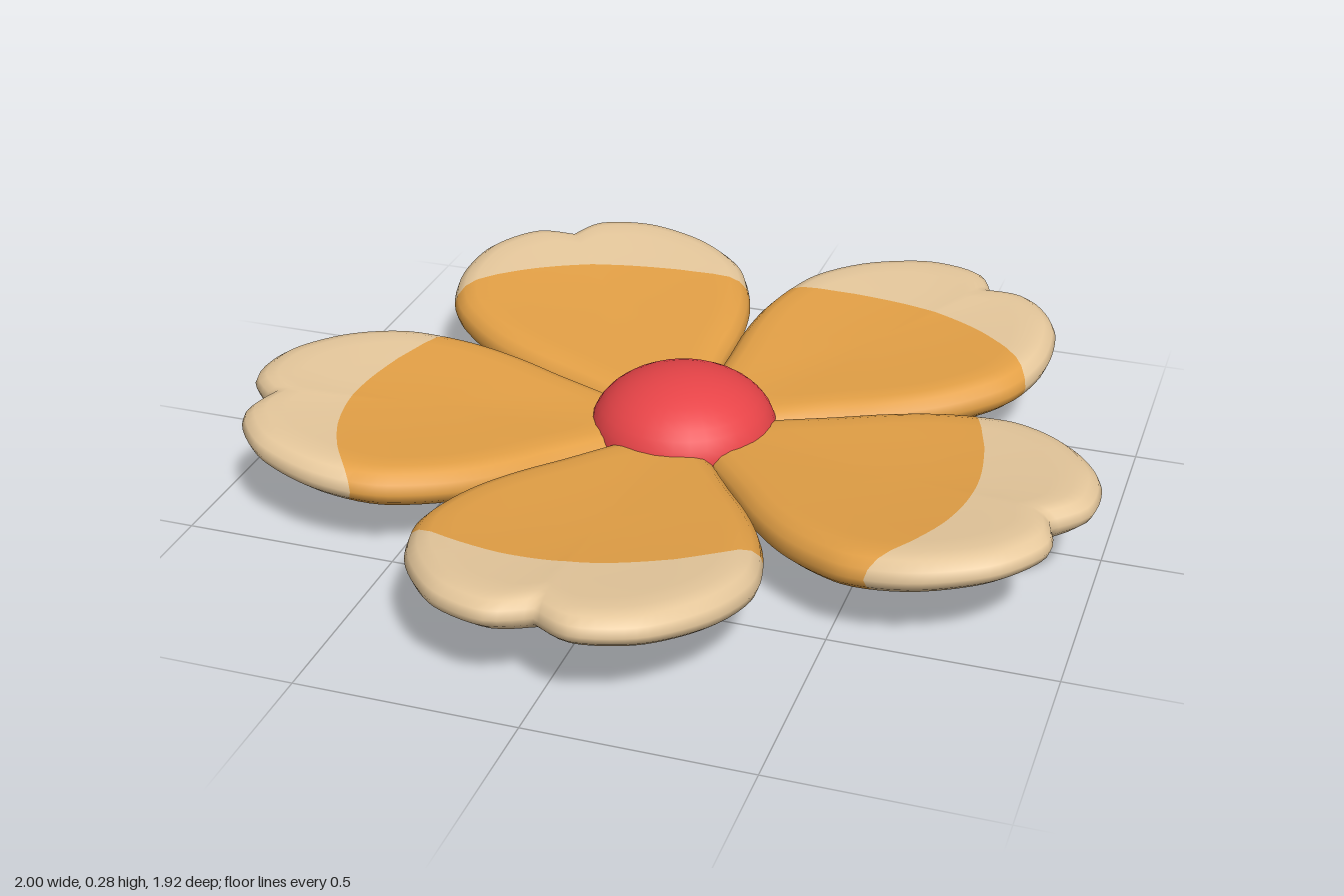
import * as THREE from 'three';

const material = (name, color) => {
  const m = new THREE.MeshStandardMaterial({ color });
  m.name = name;
  return m;
};

// Half outline of a petal from root to tip notch: x across, y outward
const HALF = [[0, 0.06], [0.09, 0.12], [0.2, 0.275], [0.275, 0.38], [0.335, 0.49], [0.37, 0.6], [0.38, 0.7],
  [0.345, 0.82], [0.275, 0.92], [0.2, 0.98], [0.09, 1.01], [0, 0.965]];
// Cross-section from top middle, round the rim, to bottom middle: [scale, height]
const SECTION = [[0, 1], [0.3, 1], [0.55, 1], [0.75, 1], [0.86, 0.96], [0.93, 0.78], [0.98, 0.42], [1, 0],
  [0.98, -0.38], [0.93, -0.68], [0.85, -0.87], [0.72, -0.97], [0.5, -1.03], [0.25, -1.06], [0, -1.07]];
const MIDDLE = 0.6;

// Closed smooth petal, thin at the root and curving up to the tip
function petalSurface() {
  const half = new THREE.SplineCurve(HALF.map(([x, y]) => new THREE.Vector2(x, y))).getPoints(44);
  const outline = [...half, ...half.slice(1, -1).reverse().map((p) => new THREE.Vector2(-p.x, p.y))];
  const n = outline.length, last = SECTION.length - 1;
  const positions = [], index = [];
  const id = (k, i) => (k === 0 ? 0 : k === last ? 1 + (last - 1) * n : 1 + (k - 1) * n + (i % n));
  SECTION.forEach(([s, h], k) => {
    const ring = k === 0 || k === last ? [outline[0]] : outline;
    for (const p of ring) {
      const r = MIDDLE + (p.y - MIDDLE) * s;
      const thick = 0.035 + 0.02 * Math.sin(Math.PI * Math.min(1, r / 1.25));
      const dish = h > 0 ? 0.018 * (1 - s * s) : 0;
      positions.push(p.x * s, 0.13 + 0.075 * Math.pow(r, 1.5) + h * thick - dish, r);
    }
  });
  for (let k = 0; k < last; k++) {
    for (let i = 0; i < n; i++) {
      const a = id(k, i), b = id(k, i + 1), c = id(k + 1, i), d = id(k + 1, i + 1);
      if (k < last - 1) index.push(a, d, c);
      if (k > 0) index.push(a, b, d);
    }
  }
  const g = new THREE.BufferGeometry();
  g.setAttribute('position', new THREE.Float32BufferAttribute(positions, 3));
  g.setIndex(index);
  g.computeVertexNormals();
  return g;
}

// Cut a surface along field = 0 and keep the side where field is positive
function keepSide(source, field) {
  const pos = source.attributes.position, nor = source.attributes.normal, idx = source.index;
  const positions = [], normals = [];
  for (let t = 0; t < idx.count; t += 3) {
    const corners = [0, 1, 2].map((j) => {
      const v = idx.getX(t + j);
      const p = new THREE.Vector3().fromBufferAttribute(pos, v);
      return { p, n: new THREE.Vector3().fromBufferAttribute(nor, v), f: field(p) };
    });
    const poly = [];
    corners.forEach((a, j) => {
      const b = corners[(j + 1) % 3];
      if (a.f >= 0) poly.push(a);
      if ((a.f >= 0) !== (b.f >= 0)) {
        const w = a.f / (a.f - b.f);
        poly.push({ p: a.p.clone().lerp(b.p, w), n: a.n.clone().lerp(b.n, w).normalize() });
      }
    });
    for (let j = 1; j + 1 < poly.length; j++) {
      for (const v of [poly[0], poly[j], poly[j + 1]]) {
        positions.push(v.p.x, v.p.y, v.p.z);
        normals.push(v.n.x, v.n.y, v.n.z);
      }
    }
  }
  const g = new THREE.BufferGeometry();
  g.setAttribute('position', new THREE.Float32BufferAttribute(positions, 3));
  g.setAttribute('normal', new THREE.Float32BufferAttribute(normals, 3));
  return g;
}

export function createModel() {
  const orange = material('petal orange', 0xe3a046);
  const cream = material('petal tip cream', 0xe6c89c);
  const red = material('centre red', 0xe84448);

  const flower = new THREE.Group();
  flower.name = 'flower';
  flower.position.z = -0.06;

  // Five petals, the two on the left mirroring the colour edge of the right ones
  const surface = petalSurface();
  const looks = [1, -1].map((side) => {
    const edge = (p) => {
      const x = p.x * side;
      return p.z - (0.77 - 0.2 * x - 0.9 * (x + 0.02) * (x + 0.02));
    };
    return { base: keepSide(surface, (p) => -edge(p)), tip: keepSide(surface, edge) };
  });
  for (let i = 0; i < 5; i++) {
    const look = looks[i < 3 ? 0 : 1];
    const petal = new THREE.Group();
    petal.name = 'petal' + (i + 1);
    const base = new THREE.Mesh(look.base, orange);
    base.name = 'petalBase';
    const tip = new THREE.Mesh(look.tip, cream);
    tip.name = 'petalTip';
    petal.add(base, tip);
    petal.rotation.y = (i * Math.PI * 2) / 5;
    flower.add(petal);
  }

  // Flattened round centre
  const centre = new THREE.Mesh(new THREE.SphereGeometry(0.218, 32, 20), red);
  centre.name = 'flowerCentre';
  centre.scale.y = 0.14 / 0.218;
  centre.position.y = 0.14;
  flower.add(centre);

  const model = new THREE.Group();
  model.name = 'flowerModel';
  model.add(flower);
  return model;
}
